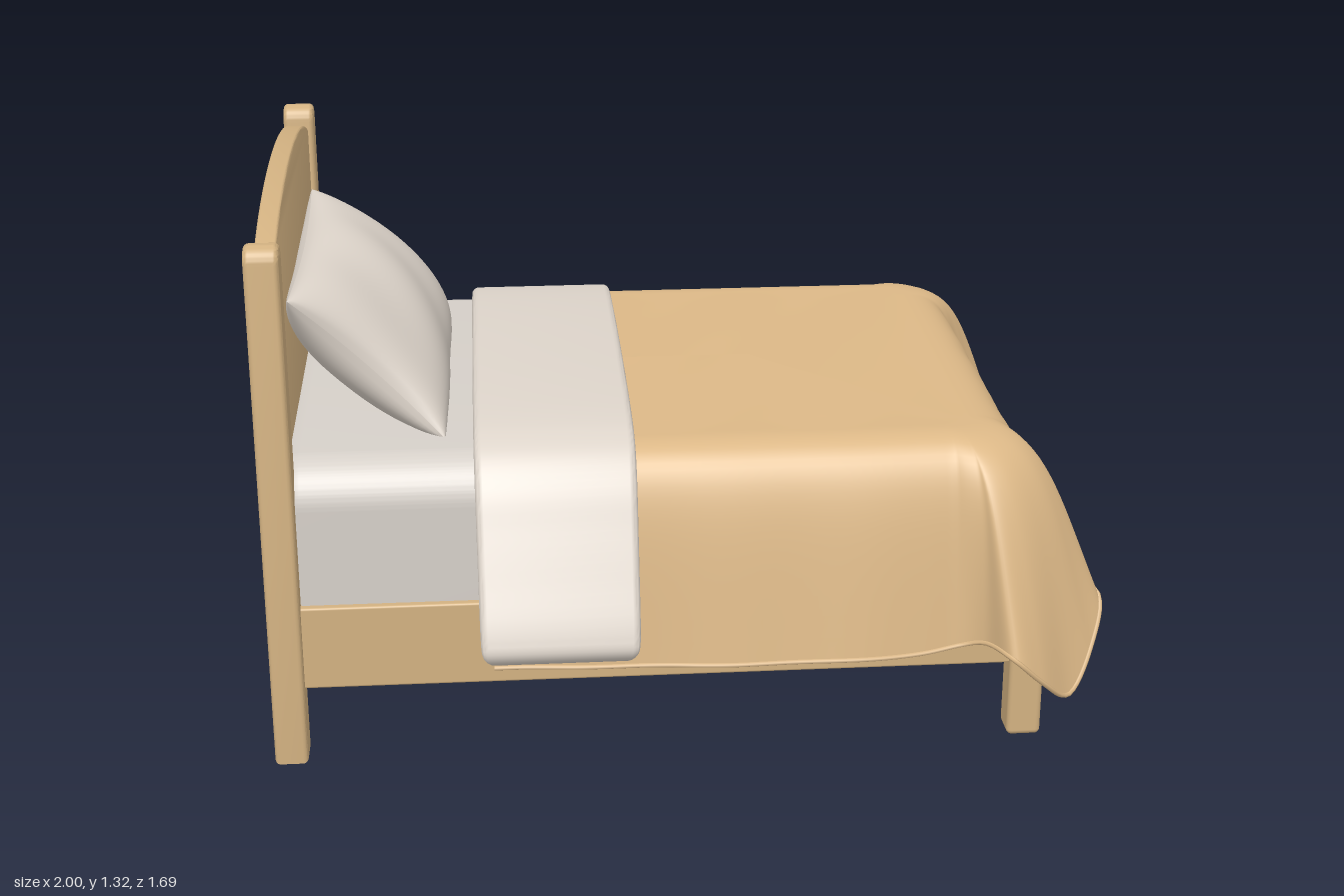
import * as THREE from 'three';
import { toCreasedNormals } from 'three/addons/utils/BufferGeometryUtils.js';
import { RoundedBoxGeometry } from 'three/addons/geometries/RoundedBoxGeometry.js';

const material = (name, color, side = THREE.FrontSide) => {
  const m = new THREE.MeshStandardMaterial({ color, side });
  m.name = name;
  return m;
};

// Grid surface: point(u, v) for u, v in 0..1
function gridGeometry(nu, nv, point) {
  const positions = [], index = [];
  for (let i = 0; i <= nu; i++)
    for (let j = 0; j <= nv; j++) positions.push(...point(i / nu, j / nv).toArray());
  for (let i = 0; i < nu; i++)
    for (let j = 0; j < nv; j++) {
      const a = i * (nv + 1) + j, c = a + nv + 1;
      index.push(a, a + 1, c, c, a + 1, c + 1);
    }
  const g = new THREE.BufferGeometry();
  g.setAttribute('position', new THREE.Float32BufferAttribute(positions, 3));
  g.setIndex(index);
  g.computeVertexNormals();
  return g;
}

// Shape drawn in (z, y), extruded along x from x0 to x1 with a rounded edge
function extrudeAlongX(shape, x0, x1, bevel) {
  const g = new THREE.ExtrudeGeometry(shape, {
    depth: x1 - x0 - 2 * bevel, bevelEnabled: true, bevelThickness: bevel,
    bevelSize: bevel, bevelOffset: -bevel, bevelSegments: 4, curveSegments: 24,
  });
  g.rotateY(Math.PI / 2).translate(x0 + bevel, 0, 0);
  return toCreasedNormals(g, 0.7);
}

// Hem of the blanket on the left half, from the head end to the foot centre
const HEM = [
  [-0.47, 0.25, 0.705], [-0.2, 0.25, 0.715], [0.1, 0.25, 0.73], [0.35, 0.253, 0.735],
  [0.55, 0.257, 0.725], [0.65, 0.275, 0.72], [0.695, 0.292, 0.75], [0.745, 0.29, 0.838],
  [0.82, 0.22, 0.825], [0.9, 0.155, 0.765], [0.965, 0.24, 0.695], [0.998, 0.345, 0.61],
  [0.935, 0.365, 0.545], [0.875, 0.36, 0.49], [0.88, 0.35, 0.38], [0.885, 0.35, 0.2], [0.89, 0.35, 0],
].map((p) => new THREE.Vector3(...p));

function blanketPoint(hemCurve, u, v) {
  const hem = hemCurve.getPoint(u);
  // Nearest point of the flat top, and the outward direction from it
  const core = new THREE.Vector3(Math.min(hem.x, 0.625), 0.76, THREE.MathUtils.clamp(hem.z, -0.46, 0.46));
  const out = hem.clone().sub(core).setY(0).normalize();
  const corner = Math.abs(2 * out.x * out.z);
  const reach = 0.205 + 0.06 * corner;
  const top = core.clone().addScaledVector(out, 0.04);
  const split = 0.3;
  if (v < split) {
    const spine = new THREE.Vector3(Math.min(core.x, 0.2), 0.766, 0);
    const p = spine.lerp(top, v / split);
    p.y += 0.003 * Math.sin(p.x * 17 + p.z * 5) * Math.sin((v / split) * Math.PI);
    return p;
  }
  // Drape over the edge and down to the hem with loose, uneven folds
  const t = (v - split) / (1 - split);
  const shoulder = core.clone().addScaledVector(out, reach).setY(0.772);
  const flank = core.clone().addScaledVector(out, reach + 0.035 * corner).setY(0.665 - 0.03 * corner);
  const p = new THREE.CubicBezierCurve3(top, shoulder, flank, hem).getPoint(t);
  const fold = 0.005 * t * t * (Math.sin(core.z * 33 + 1) + Math.sin(core.z * 19) + 0.6 * Math.sin(core.x * 19));
  return p.addScaledVector(out, fold);
}

// Pillow half: pinched edges, puffed middle, fuller at the back; side is +1 or -1
function pillowPoint(u, v, side) {
  const a = -Math.cos(u * Math.PI), b = -Math.cos(v * Math.PI) * side;
  const puff = Math.pow(Math.max(0, 1 - a * a), 0.4) * Math.pow(Math.max(0, 1 - b * b), 0.5);
  return new THREE.Vector3(
    side * (side > 0 ? 0.13 : 0.155) * puff * (1 + 0.04 * Math.sin(a * 7 + b * 3)),
    0.25 * b * (1 - 0.06 * (1 - a * a)),
    0.47 * a * (1 - 0.085 * (1 - b * b)),
  );
}

export function createModel() {
  const wood = material('wood', 0xd2b181);
  const blanketCloth = material('blanket cloth', 0xdcb887, THREE.DoubleSide);
  const linen = material('linen', 0xddd4ca, THREE.DoubleSide);
  const mattressCloth = material('mattress cloth', 0xd5cfc8);

  const model = new THREE.Group();
  model.name = 'bed';
  const add = (name, geometry, mat) => {
    const mesh = new THREE.Mesh(geometry, mat);
    mesh.name = name;
    model.add(mesh);
    return mesh;
  };
  const box = (name, mat, x0, x1, y0, y1, z0, z1, r) =>
    add(name, new RoundedBoxGeometry(x1 - x0, y1 - y0, z1 - z0, 4, r), mat)
      .position.set((x0 + x1) / 2, (y0 + y1) / 2, (z0 + z1) / 2);

  // Arched headboard
  const arch = new THREE.Shape();
  arch.moveTo(-0.62, 0.19);
  arch.lineTo(0.62, 0.19);
  arch.lineTo(0.62, 1.22);
  arch.bezierCurveTo(0.35, 1.355, -0.35, 1.355, -0.62, 1.22);
  add('headboard', extrudeAlongX(arch, -0.985, -0.935, 0.006), wood);

  // Posts, legs and side rails, mirrored
  const post = new THREE.Shape();
  post.moveTo(-0.042, 0);
  post.lineTo(0.042, 0);
  post.lineTo(0.042, 1.25);
  post.bezierCurveTo(0.04, 1.303, -0.04, 1.303, -0.042, 1.25);
  for (const s of [1, -1]) {
    const side = s > 0 ? 'left' : 'right';
    add(side + 'HeadPost', extrudeAlongX(post, -1, -0.92, 0.012), wood).position.z = s * 0.637;
    box(side + 'FootLeg', wood, 0.775, 0.858, 0, 0.4, s * 0.637 - 0.042, s * 0.637 + 0.042, 0.014);
    box(side + 'Rail', wood, -0.94, 0.8, 0.19, 0.4, s * 0.636 - 0.024, s * 0.636 + 0.024, 0.006);
  }
  box('footRail', wood, 0.795, 0.84, 0.19, 0.4, -0.62, 0.62, 0.006);
  box('bedBase', wood, -0.94, 0.8, 0.35, 0.38, -0.625, 0.625, 0.005);

  // Mattress, rounded along its upper edges only
  const section = new THREE.Shape();
  section.moveTo(-0.642, 0.37);
  section.lineTo(0.642, 0.37);
  section.lineTo(0.642, 0.638);
  section.absarc(0.532, 0.638, 0.11, 0, Math.PI / 2);
  section.absarc(-0.532, 0.638, 0.11, Math.PI / 2, Math.PI);
  add('mattress', extrudeAlongX(section, -0.96, 0.785, 0.05), mattressCloth);

  // Blanket draped over the sides and foot, with a thickened hem
  const mirrored = HEM.slice(0, -1).reverse().map((p) => new THREE.Vector3(p.x, p.y, -p.z));
  const hemCurve = new THREE.CatmullRomCurve3([...HEM, ...mirrored], false, 'centripetal');
  add('blanket', gridGeometry(256, 30, (u, v) => blanketPoint(hemCurve, u, v)), blanketCloth);
  const hemLine = [];
  for (let i = 0; i <= 128; i++) hemLine.push(blanketPoint(hemCurve, i / 128, 1));
  add('blanketHem', new THREE.TubeGeometry(new THREE.CatmullRomCurve3(hemLine), 256, 0.006, 6), blanketCloth);

  // Turned-down sheet: a closed band over the bed, flaring out on both sides
  const half = [
    [0.3, 0.807], [0.48, 0.795], [0.55, 0.782], [0.612, 0.755], [0.67, 0.695], [0.72, 0.605],
    [0.775, 0.5], [0.83, 0.39], [0.84, 0.345], [0.81, 0.312], [0.77, 0.33], [0.75, 0.4],
    [0.69, 0.55], [0.625, 0.685], [0.53, 0.737], [0.4, 0.75],
  ];
  const band = [[0, 0.812], ...half, [0, 0.755], ...half.slice().reverse().map(([z, y]) => [-z, y])];
  const bandCurve = new THREE.CatmullRomCurve3(band.map(([z, y]) => new THREE.Vector3(z, y, 0)), true);
  const bandShape = new THREE.Shape(bandCurve.getPoints(170).slice(0, -1).map((p) => new THREE.Vector2(p.x, p.y)));
  const sheet = extrudeAlongX(bandShape, -0.505, -0.125, 0.018);
  // Narrow it slightly down the sides and round the hanging corners
  const pos = sheet.attributes.position;
  for (let i = 0; i < pos.count; i++) {
    const drop = THREE.MathUtils.clamp((0.8 - pos.getY(i)) / 0.49, 0, 1);
    const scale = 1 - 0.03 * drop - 0.09 * Math.pow(drop, 24);
    pos.setX(i, -0.315 + (pos.getX(i) + 0.315) * scale);
  }
  add('foldedSheet', sheet, linen);

  // Pillow leaning on the headboard
  const pillow = new THREE.Group();
  pillow.name = 'pillow';
  for (const s of [1, -1]) {
    const mesh = new THREE.Mesh(gridGeometry(40, 28, (u, v) => pillowPoint(u, v, s)), linen);
    mesh.name = s > 0 ? 'pillowFront' : 'pillowBack';
    pillow.add(mesh);
  }
  pillow.position.set(-0.748, 0.92, 0);
  pillow.rotation.z = Math.PI / 4;
  model.add(pillow);

  return model;
}
